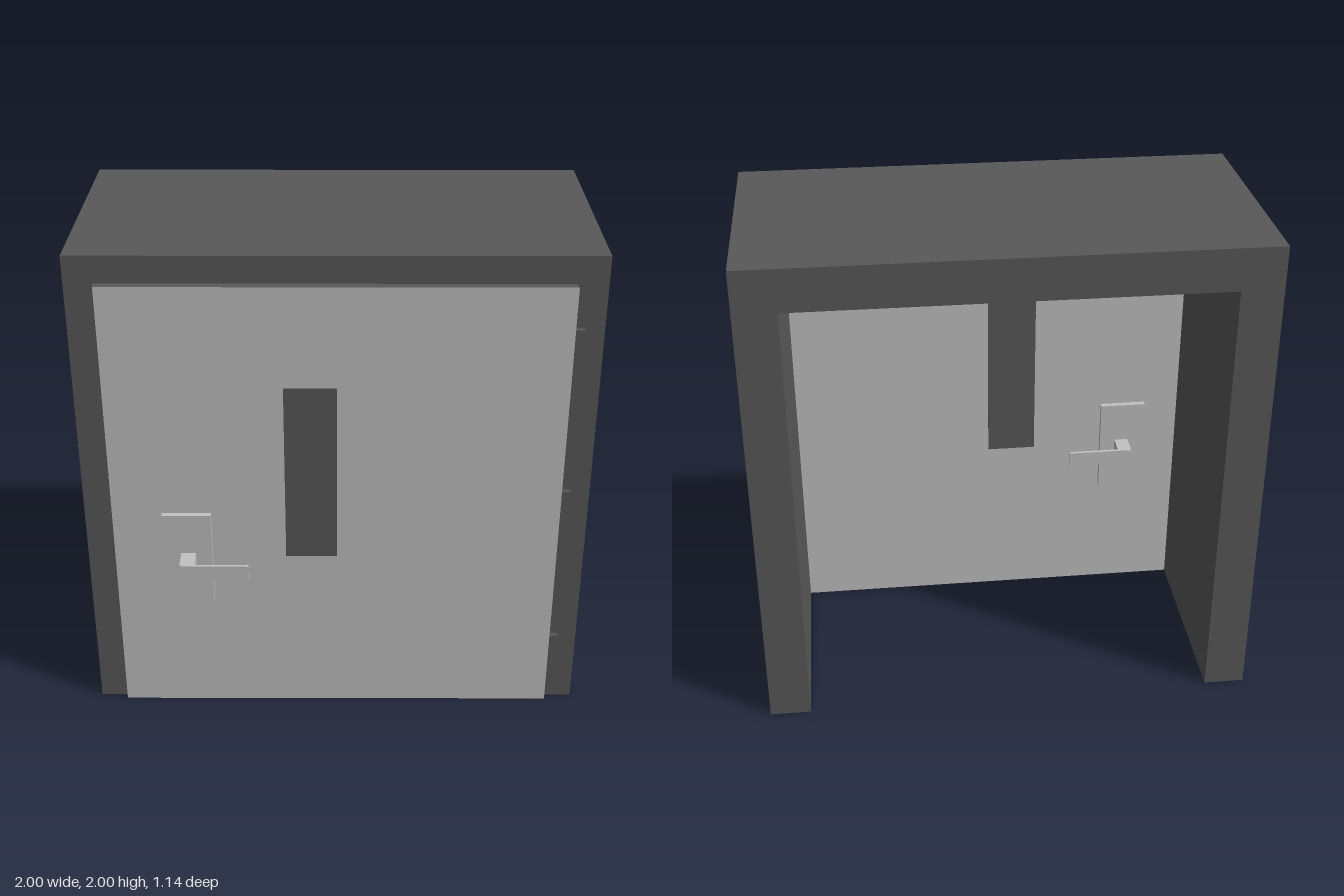
import * as THREE from 'three';

export function createModel() {
  const model = new THREE.Group();
  model.name = 'doorInWall';
  const dark = new THREE.MeshStandardMaterial({ color: 0x595959 });
  dark.name = 'dark grey';
  const light = new THREE.MeshStandardMaterial({ color: 0xc1c1c1 });
  light.name = 'light grey';

  const add = (parent, name, geometry, material) => {
    const mesh = new THREE.Mesh(geometry, material);
    mesh.name = name;
    parent.add(mesh);
    return mesh;
  };
  // Box given by its limits on each axis
  const box = (parent, name, material, [x0, x1], [y0, y1], [z0, z1]) =>
    add(parent, name, new THREE.BoxGeometry(x1 - x0, y1 - y0, z1 - z0)
      .translate((x0 + x1) / 2, (y0 + y1) / 2, (z0 + z1) / 2), material);

  // Three-sided surround, open at the floor
  const surround = (name, innerX, innerY, z0, z1) => {
    const shape = new THREE.Shape([
      [-1, 0], [-innerX, 0], [-innerX, innerY], [innerX, innerY],
      [innerX, 0], [1, 0], [1, 2], [-1, 2],
    ].map(([x, y]) => new THREE.Vector2(x, y)));
    const geometry = new THREE.ExtrudeGeometry(shape, { depth: z1 - z0, bevelEnabled: false });
    add(model, name, geometry.translate(0, 0, z0), dark);
  };
  const doorBack = 0.255, doorFront = 0.445;
  surround('wallSurround', 0.835, 1.83, -0.57, doorBack - 0.003);
  surround('rebatedFrame', 0.892, 1.892, doorBack - 0.003, 0.42);

  // Door leaf: dark edges, light front and back faces
  box(model, 'doorLeaf', [dark, dark, dark, dark, light, light],
    [-0.888, 0.888], [0, 1.888], [doorBack, doorFront]);

  // Window strip, just proud of both faces
  box(model, 'doorWindow', dark, [-0.2, 0.004], [0.725, 1.477],
    [doorBack - 0.002, doorFront + 0.002]);

  // Hinges on the left edge
  for (const y of [0.25, 0.945, 1.64]) {
    box(model, 'hinge', dark, [0.886, 0.923], [y - 0.075, y + 0.075], [0.41, 0.439]);
  }

  // Lever with rounded corners at the pivot end
  const leverShape = new THREE.Shape();
  const r = 0.018;
  leverShape.moveTo(-0.345, 0.69);
  leverShape.lineTo(-0.345, 0.753);
  leverShape.lineTo(-0.62 + r, 0.753);
  leverShape.quadraticCurveTo(-0.62, 0.753, -0.62, 0.753 - r);
  leverShape.lineTo(-0.62, 0.69 + r);
  leverShape.quadraticCurveTo(-0.62, 0.69, -0.62 + r, 0.69);

  // Handle sets, mirrored through the door's thickness
  for (const side of [1, -1]) {
    const handle = new THREE.Group();
    handle.name = side > 0 ? 'frontHandle' : 'backHandle';
    const span = (a, b) => side > 0 ? [a, b] : [-b, -a];
    box(handle, 'handlePlate', light, [-0.69, -0.495], [0.517, 0.925], span(0, 0.024));
    box(handle, 'handleStem', light, [-0.619, -0.56], [0.692, 0.751], span(0.024, 0.113));
    const lever = new THREE.ExtrudeGeometry(leverShape,
      { depth: 0.013, bevelEnabled: false, curveSegments: 4 });
    add(handle, 'handleLever', lever.translate(0, 0, span(0.111, 0.124)[0]), light);
    handle.position.z = side > 0 ? doorFront : doorBack;
    model.add(handle);
  }
  return model;
}
